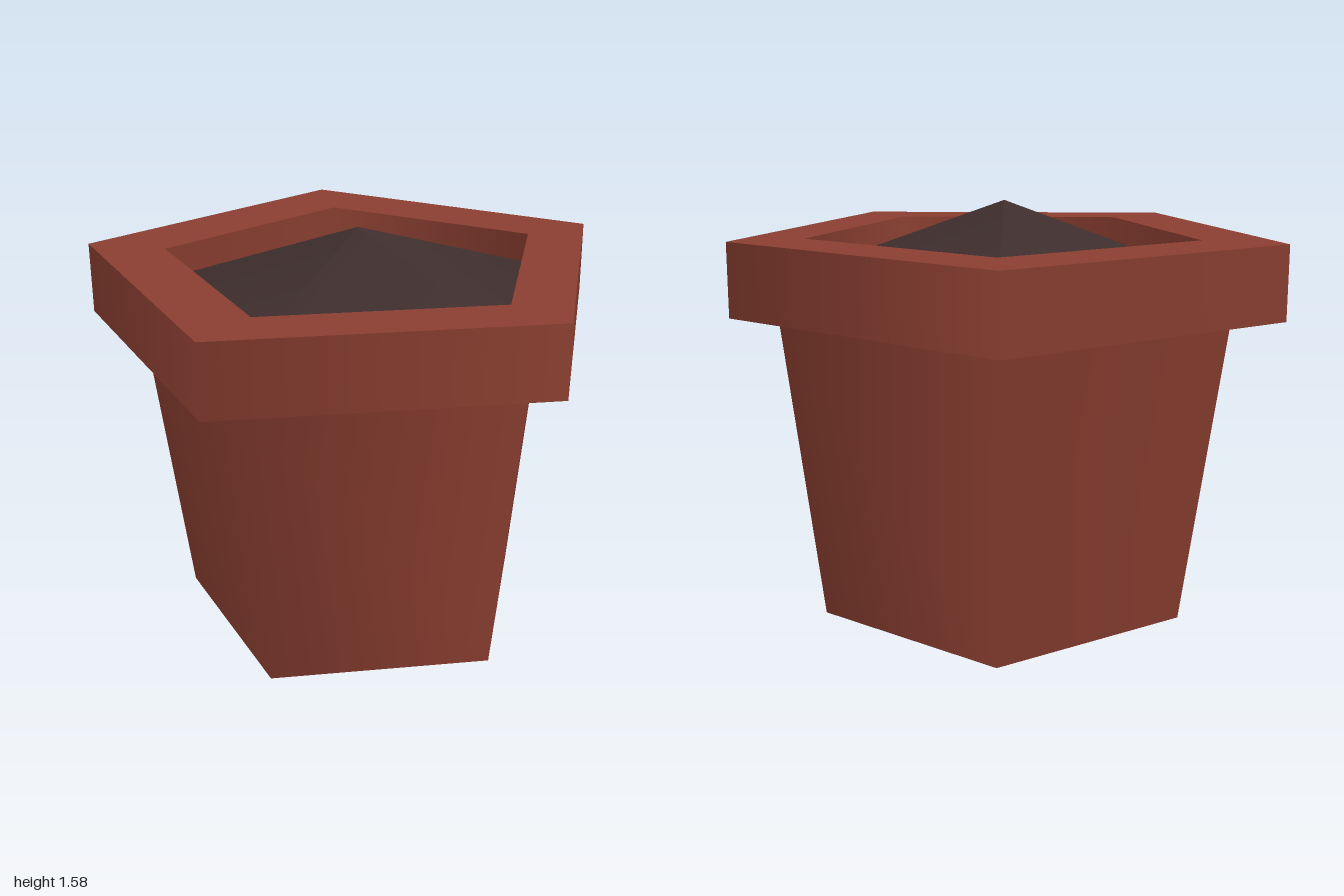
import * as THREE from 'three';

const SIDES = 5;
const OFFSET = 0.0955; // keeps each pentagon centred between its point and its flat side

const terracotta = new THREE.MeshStandardMaterial({ color: 0x8a3e30 });
terracotta.name = 'terracotta';
const soilBrown = new THREE.MeshStandardMaterial({ color: 0x3e2e2d });
soilBrown.name = 'soil brown';

// One pentagonal band between two [radius, height] points, smooth around, sharp at its ends
function band(name, from, to, material, fixedRadius) {
  const points = [from, to].map(([r, y]) => new THREE.Vector2(r, y));
  const geometry = new THREE.LatheGeometry(points, SIDES, Math.PI / 2);
  const pos = geometry.attributes.position;
  for (let i = 0; i < pos.count; i++) {
    const radius = fixedRadius ?? Math.hypot(pos.getX(i), pos.getZ(i));
    pos.setX(i, pos.getX(i) - OFFSET * radius);
  }
  const mesh = new THREE.Mesh(geometry, material);
  mesh.name = name;
  return mesh;
}

export function createModel() {
  const model = new THREE.Group();
  model.name = 'flowerPot';

  // Tapered pot body with a closed base
  const body = new THREE.Group();
  body.name = 'body';
  body.add(
    band('base', [0, 0], [0.715, 0], terracotta),
    band('bodyWall', [0.715, 0], [0.868, 1.18], terracotta)
  );

  // Thick overhanging rim
  const rim = new THREE.Group();
  rim.name = 'rim';
  rim.add(
    band('rimUnderside', [0.757, 1.18], [1.0515, 1.18], terracotta),
    band('rimOuterWall', [1.0515, 1.18], [1.0515, 1.457], terracotta),
    band('rimTop', [1.0515, 1.457], [0.757, 1.457], terracotta),
    band('rimInnerWall', [0.757, 1.457], [0.757, 1.18], terracotta)
  );

  // Soil heaped to a low point
  const soil = band('soil', [0.757, 1.34], [0, 1.58], soilBrown, 0.757);

  model.add(body, rim, soil);
  return model;
}
